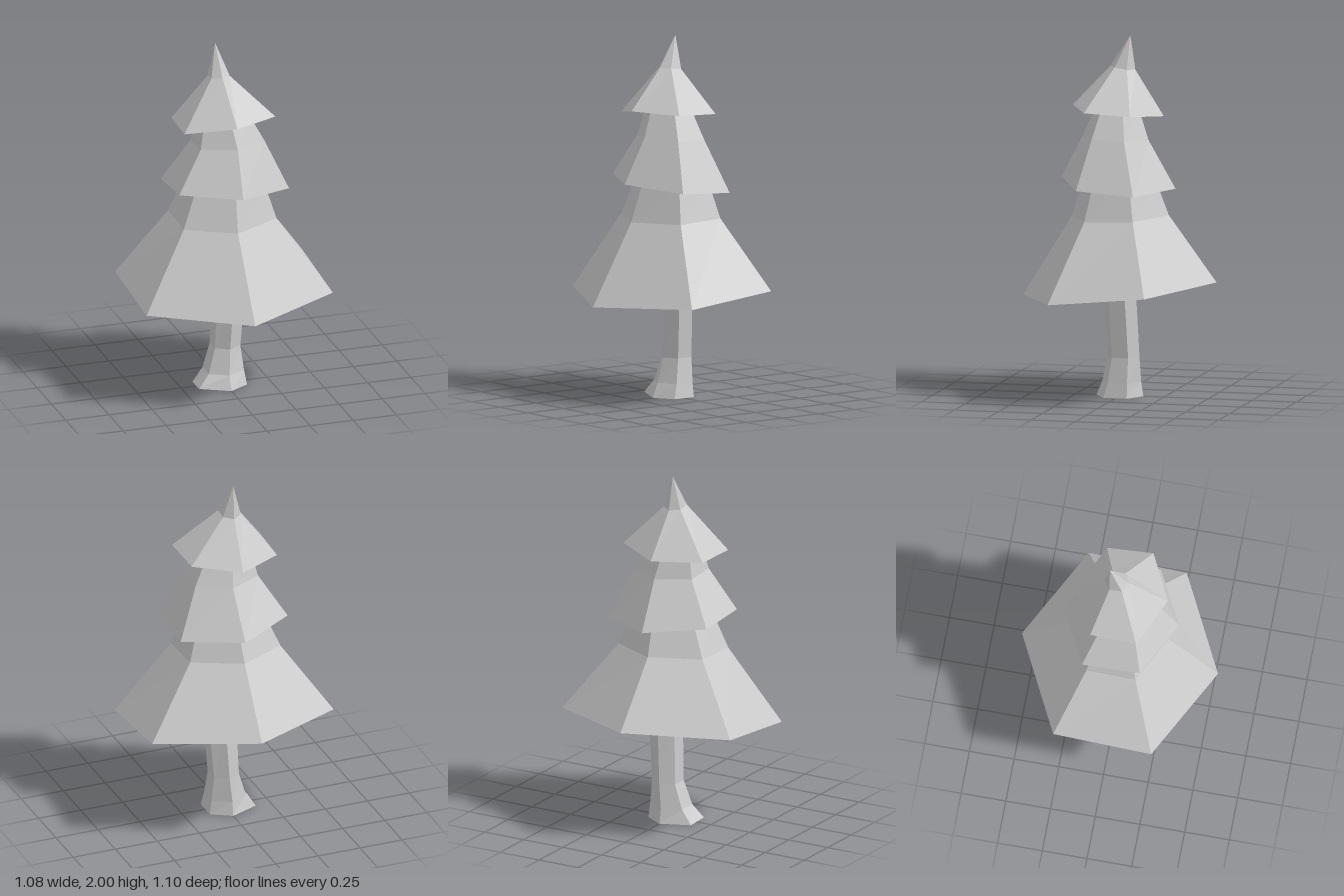
import * as THREE from 'three';

const SIDES = 6;

// Corner i of a six-sided ring, one corner facing +z; slopeX / slopeZ tilt the ring,
// nudges move single corners: { corner: [dx, dy] }.
function corner([cx, y, cz, rx, rz, slopeX = 0, slopeZ = 0, nudges = {}], i) {
  const k = i % SIDES;
  const a = k / SIDES * Math.PI * 2;
  const x = cx + Math.sin(a) * rx;
  const z = cz + Math.cos(a) * rz;
  const [dx, dy] = nudges[k] ?? [0, 0];
  return [x + dx, y + slopeX * x + slopeZ * z + dy, z];
}

// Faceted skin through a list of rings; a ring of zero radius closes to a point.
function loft(name, rings) {
  const pos = [];
  for (let r = 0; r < rings.length - 1; r++) {
    const lo = rings[r], hi = rings[r + 1];
    for (let i = 0; i < SIDES; i++) {
      const a = corner(lo, i), b = corner(lo, i + 1);
      const c = corner(hi, i + 1), d = corner(hi, i);
      if (lo[3] > 0) pos.push(...a, ...b, ...c);
      if (hi[3] > 0) pos.push(...a, ...c, ...d);
    }
  }
  const geo = new THREE.BufferGeometry();
  geo.setAttribute('position', new THREE.Float32BufferAttribute(pos, 3));
  geo.computeVertexNormals();
  const mesh = new THREE.Mesh(geo, new THREE.MeshStandardMaterial({ color: 0xcccccc, flatShading: true }));
  mesh.name = name;
  return mesh;
}

export function createModel() {
  const tree = new THREE.Group();
  tree.name = 'pineTree';

  // rings: [cx, y, cz, rx, rz, slopeX, slopeZ, nudges]
  // Trunk, slightly bent, its foot flared towards the right (-x)
  tree.add(loft('trunk', [
    [0, 0, 0, 0, 0],
    [0, 0, 0, 0.129, 0.133, 0, 0, { 4: [-0.05, 0], 5: [-0.053, 0.008] }],
    [-0.001, 0.08, -0.01, 0.118, 0.11],
    [0.013, 0.22, -0.022, 0.085, 0.092],
    [0.032, 0.56, -0.01, 0.094, 0.09],
    [0.025, 0.9, 0, 0.08, 0.08],
    [0.025, 0.9, 0, 0, 0],
  ]));

  // Each tier starts at its hollow underside, goes out to the rim, then up
  tree.add(loft('lowerBranches', [
    [0, 0.83, 0, 0, 0],
    [0, 0.596, 0, 0.623, 0.548, 0, -0.096],
    [-0.01, 1.0, 0, 0.31, 0.275, 0, -0.04],
    [0, 1.19, 0, 0.233, 0.208],
    [0, 1.28, 0, 0.18, 0.16],
    [0, 1.28, 0, 0, 0],
  ]));

  tree.add(loft('middleBranches', [
    [0, 1.32, 0, 0, 0],
    [0.003, 1.184, 0.007, 0.367, 0.323, -0.06, 0.07],
    [0.014, 1.44, 0.018, 0.213, 0.183, 0.02, 0.07],
    [-0.008, 1.59, 0.015, 0.152, 0.125, 0, 0.07],
    [-0.01, 1.67, 0.01, 0.1, 0.09],
    [-0.01, 1.67, 0.01, 0, 0],
  ]));

  tree.add(loft('topBranches', [
    [-0.01, 1.685, 0, 0, 0],
    [-0.012, 1.583, 0.012, 0.3, 0.258, 0.05, 0.09, { 1: [0.003, -0.008], 2: [-0.007, 0.002], 4: [0.005, 0], 5: [-0.004, -0.021] }],
    [-0.028, 1.822, -0.01, 0.061, 0.07, 0.02, 0.14],
    [-0.035, 2, -0.05, 0, 0],
  ]));

  return tree;
}
